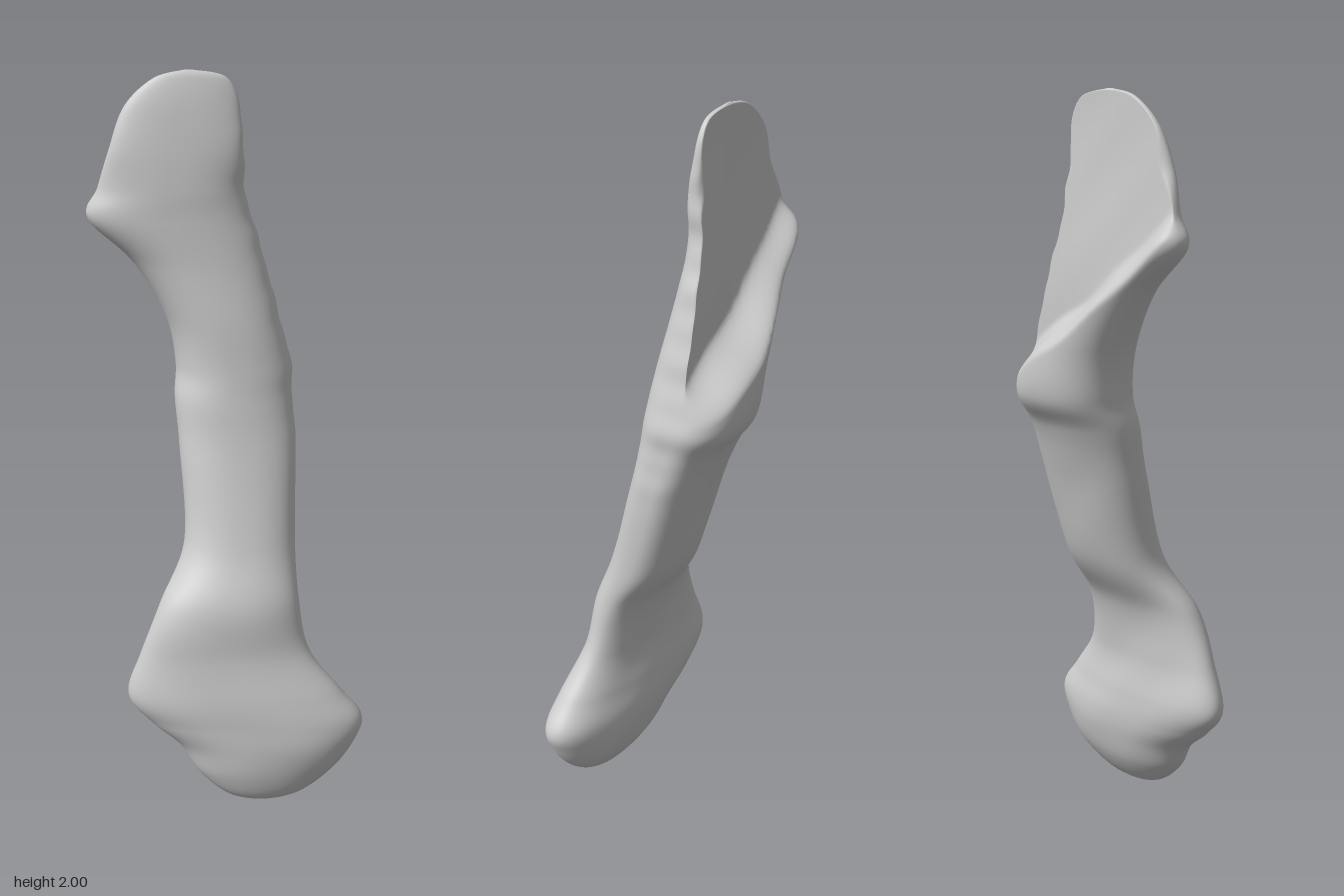
import * as THREE from 'three';

// Cross-sections from bottom to top: y, left x, right x, front z, back z
const SECTIONS = [
  [0, 0.07, 0.09, 0.185, 0.175],
  [0.03, -0.03, 0.195, 0.222, 0.13],
  [0.1, -0.11, 0.285, 0.245, 0.082],
  [0.18, -0.16, 0.338, 0.255, 0.055],
  [0.25, -0.24, 0.355, 0.25, 0.043],
  [0.33, -0.297, 0.295, 0.237, 0.042],
  [0.45, -0.262, 0.207, 0.212, 0.05],
  [0.6, -0.203, 0.18, 0.197, 0.023],
  [0.75, -0.127, 0.18, 0.135, -0.066],
  [1, -0.13, 0.19, 0.06, -0.14],
  [1.13, -0.137, 0.185, 0.033, -0.19],
  [1.22, -0.13, 0.185, 0.02, -0.248],
  [1.35, -0.155, 0.152, 0.005, -0.255],
  [1.5, -0.24, 0.113, -0.02, -0.24],
  [1.62, -0.357, 0.077, -0.032, -0.22],
  [1.7, -0.33, 0.057, -0.038, -0.2],
  [1.8, -0.3, 0.053, -0.05, -0.14],
  [1.91, -0.257, 0.042, -0.07, -0.135],
  [1.98, -0.18, 0.01, -0.088, -0.119],
  [2, -0.1, -0.08, -0.1, -0.106],
];
const STEPS = 13;
const SIDES = 72;
const { smoothstep, lerp, clamp } = THREE.MathUtils;

// Catmull-Rom blend of four neighbouring sections
function sectionAt(i, t) {
  const at = (k) => SECTIONS[clamp(k, 0, SECTIONS.length - 1)];
  const [a, b, c, d] = [at(i - 1), at(i), at(i + 1), at(i + 2)];
  return b.map((p, k) => p + 0.5 * t * (c[k] - a[k]
    + t * (2 * a[k] - 5 * p + 4 * c[k] - d[k]
    + t * (3 * (p - c[k]) + d[k] - a[k]))));
}

const rounded = (v, power) => Math.sign(v) * Math.abs(v) ** power;

// One point on the bone surface
function surfacePoint([y, x0, x1, front, back], angle) {
  // Oval at the lower end, squarer on the left side higher up
  const u = rounded(Math.cos(angle), 0.9);
  const v = rounded(Math.sin(angle), lerp(0.95, u > 0 ? 0.72 : 0.9, smoothstep(y, 0.5, 1.1)));
  const x = (x0 + x1) / 2 + u * (x1 - x0) / 2;

  // The wide lower end is turned slightly forward on its left
  const tilt = 0.028 * Math.exp(-(((y - 0.3) / 0.17) ** 2));
  let z = (front + back) / 2 + v * (front - back) / 2 + u * tilt;

  // Broken rear face: above a slanting ledge only a thin plate remains
  const ledge = 1.4 - 0.65 * x + 0.6 * x * x + 0.006 * Math.sin(x * 31);
  const cut = smoothstep(y, ledge - 0.06, ledge + 0.05);
  const plate = -0.14 + 0.03 * smoothstep(y, 1.4, 2);
  z = lerp(z, Math.max(z, plate), cut);

  // Slight unevenness of the worn surface and chipped edge
  const fade = Math.min(1, (x1 - x0) * 2);
  const worn = 0.002 * Math.sin(y * 19 + x * 9) * Math.sin(x * 17 + y * 7);
  const chipped = 0.004 * Math.sin(y * 53) * Math.sin(y * 17) * Math.max(0, u) ** 6 * smoothstep(y, 0.9, 1.2);
  return [x + chipped * fade, y, z + worn * v * fade];
}

function boneGeometry() {
  const rings = [];
  for (let i = 0; i < SECTIONS.length - 1; i++) {
    for (let s = 0; s < STEPS; s++) rings.push(sectionAt(i, s / STEPS));
  }
  rings.push(SECTIONS[SECTIONS.length - 1]);

  const positions = [];
  const index = [];
  rings.forEach((ring, r) => {
    for (let j = 0; j < SIDES; j++) {
      positions.push(...surfacePoint(ring, (j / SIDES) * Math.PI * 2));
      if (r === rings.length - 1) continue;
      const a = r * SIDES + j;
      const b = r * SIDES + (j + 1) % SIDES;
      index.push(a, a + SIDES, b, b, a + SIDES, b + SIDES);
    }
  });

  // Close both tiny ends with fans
  const last = (rings.length - 1) * SIDES;
  for (let j = 1; j < SIDES - 1; j++) {
    index.push(0, j, j + 1, last, last + j + 1, last + j);
  }

  const geometry = new THREE.BufferGeometry();
  geometry.setAttribute('position', new THREE.Float32BufferAttribute(positions, 3));
  geometry.setIndex(index);
  geometry.computeVertexNormals();
  return geometry;
}

export function createModel() {
  const group = new THREE.Group();
  group.name = 'boneFragment';
  const bone = new THREE.Mesh(boneGeometry(), new THREE.MeshStandardMaterial({ color: 0xcccccc }));
  bone.name = 'bone';
  group.add(bone);
  return group;
}
